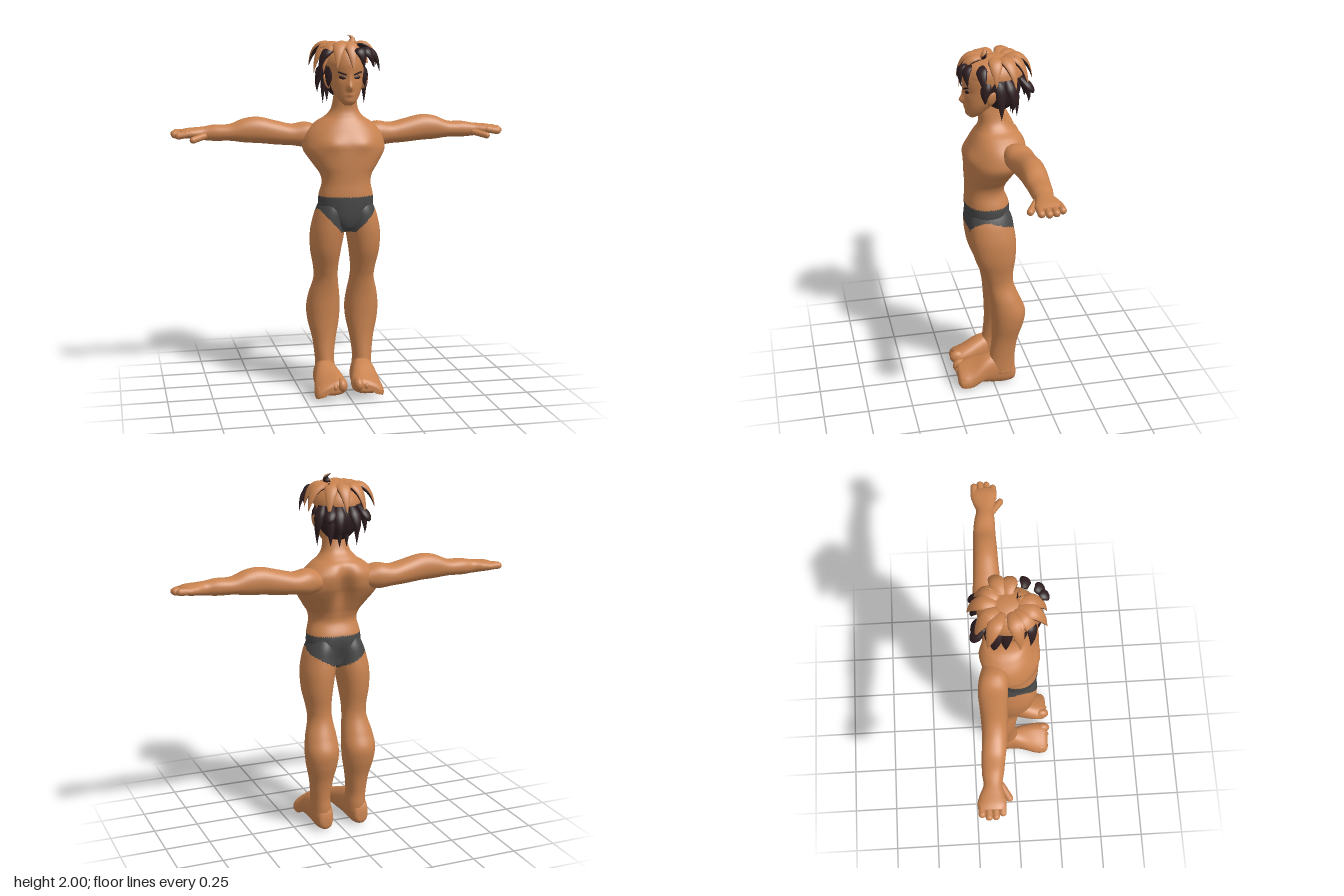
import * as THREE from 'three';

const V = (x, y, z) => new THREE.Vector3(x, y, z);
const mat = (name, color) => Object.assign(new THREE.MeshStandardMaterial({ color }), { name });
const gauss = (v, c, w) => Math.exp(-(((v - c) / w) ** 2));
const smooth = THREE.MathUtils.smoothstep;

export function createModel() {
  const skin = mat('skin', 0xc98350);
  const cloth = mat('briefs grey', 0x484747);
  const dark = mat('dark hair', 0x2f1e20);
  const model = new THREE.Group();

  const add = (name, geo, material) => {
    const m = new THREE.Mesh(geo, material);
    m.name = name;
    model.add(m);
    return m;
  };

  // Closed tube surface from point(t, angle); paint() picks faces for the second material
  function surface(steps, n, point, paint, flip) {
    const pts = [], groups = [[], []];
    for (let i = 0; i <= steps; i++)
      for (let j = 0; j < n; j++) pts.push(point(i / steps, (j / n) * Math.PI * 2));
    for (const i of [0, steps]) {
      const c = V(0, 0, 0);
      for (let j = 0; j < n; j++) c.addScaledVector(pts[i * n + j], 1 / n);
      pts.push(c);
    }
    const tri = (a, b, c, j) => {
      const mid = V(0, 0, 0).add(pts[a]).add(pts[b]).add(pts[c]).divideScalar(3);
      groups[paint && paint(mid, (j / n) * Math.PI * 2) ? 1 : 0].push(...(flip ? [a, c, b] : [a, b, c]));
    };
    const end = (steps + 1) * n;
    for (let j = 0; j < n; j++) {
      const k = (j + 1) % n;
      for (let i = 0; i < steps; i++) {
        const a = i * n + j, b = i * n + k;
        tri(a, a + n, b, j);
        tri(b, a + n, b + n, j);
      }
      tri(end, j, k, j);
      tri(end + 1, steps * n + k, steps * n + j, j);
    }
    const geo = new THREE.BufferGeometry().setFromPoints(pts);
    geo.setIndex([...groups[0], ...groups[1]]);
    geo.addGroup(0, groups[0].length, 0);
    geo.addGroup(groups[0].length, groups[1].length, 1);
    geo.computeVertexNormals();
    return geo;
  }

  // Loft through rows [position, a min, a max, b min, b max] along one axis
  function loft(rows, axis, { steps = 40, n = 32, side = 1, power = 1, bend, paint } = {}) {
    const row = (t) => {
      const f = Math.min(t * (rows.length - 1), rows.length - 1.0001), i = Math.floor(f), u = f - i;
      const at = (k) => rows[Math.max(0, Math.min(rows.length - 1, k))];
      return rows[0].map((_, c) => {
        const [p, q, r, s] = [at(i - 1)[c], at(i)[c], at(i + 1)[c], at(i + 2)[c]];
        return q + 0.5 * u * (r - p + u * (2 * p - 5 * q + 4 * r - s + u * (3 * (q - r) + s - p)));
      });
    };
    const sp = (v) => Math.sign(v) * Math.abs(v) ** power;
    return surface(steps, n, (t, ang) => {
      const [p, a0, a1, b0, b1] = row(t);
      const a = (a0 + a1) / 2 + ((a1 - a0) / 2) * sp(Math.cos(ang));
      const b = (b0 + b1) / 2 + ((b1 - b0) / 2) * sp(Math.sin(ang));
      const v = axis === 'y' ? V(a, p, b) : axis === 'z' ? V(b, a, p) : V(p, b, a);
      if (bend) bend(v);
      v.x *= side;
      return v;
    }, paint, side < 0);
  }

  // Area covered by the briefs
  const briefs = ({ x, y, z }) => {
    const ax = Math.abs(x);
    const front = 0.93 + Math.max(0, ax - 0.04) * 1.1, back = 0.94 + ax * 0.55;
    return y < 1.13 && y > THREE.MathUtils.lerp(back, front, smooth(z, -0.06, 0.06));
  };

  // Torso and neck, with a spine groove and flared back muscles
  add('torso', loft([
    [0.925, -0.03, 0.03, -0.03, 0.06], [0.95, -0.06, 0.06, -0.08, 0.11], [1.0, -0.12, 0.12, -0.1, 0.13],
    [1.06, -0.15, 0.15, -0.105, 0.137], [1.13, -0.15, 0.15, -0.1, 0.14], [1.2, -0.135, 0.135, -0.075, 0.137],
    [1.25, -0.145, 0.145, -0.085, 0.138], [1.3, -0.18, 0.18, -0.11, 0.14], [1.37, -0.225, 0.225, -0.15, 0.14],
    [1.42, -0.225, 0.225, -0.175, 0.135], [1.48, -0.2, 0.2, -0.185, 0.11], [1.53, -0.15, 0.15, -0.165, 0.085],
    [1.56, -0.105, 0.105, -0.13, 0.07], [1.6, -0.075, 0.075, -0.09, 0.06], [1.66, -0.063, 0.063, -0.07, 0.065],
    [1.7, -0.06, 0.06, -0.07, 0.06],
  ], 'y', {
    steps: 130, n: 80, power: 0.88, paint: briefs,
    bend: (v) => {
      const chest = gauss(v.y, 1.4, 0.11);
      v.x *= 1 - 0.8 * (v.z + 0.02) * chest;
      if (v.z < -0.03) v.z += (0.055 * chest + 0.025 * gauss(v.y, 1.0, 0.07)) * gauss(v.x, 0, 0.04);
      if (v.z > 0.03) v.z += 0.01 * gauss(v.y, 1.415, 0.04) * gauss(Math.abs(v.x), 0.09, 0.06);
    },
  }), [skin, cloth]);

  for (const s of [1, -1]) {
    const label = s > 0 ? 'left' : 'right';

    // Leg
    add(label + 'Leg', loft([
      [0.08, 0.05, 0.16, -0.12, 0.02], [0.13, 0.05, 0.16, -0.125, 0.03], [0.2, 0.055, 0.163, -0.125, 0.02],
      [0.3, 0.042, 0.175, -0.14, 0.01], [0.4, 0.022, 0.198, -0.17, 0.01], [0.48, 0.016, 0.205, -0.18, 0.015],
      [0.56, 0.022, 0.195, -0.15, 0.022], [0.65, 0.035, 0.172, -0.115, 0.04], [0.72, 0.037, 0.175, -0.11, 0.065],
      [0.82, 0.025, 0.193, -0.122, 0.105], [0.92, 0.008, 0.195, -0.125, 0.125], [1.0, 0.002, 0.18, -0.115, 0.13],
      [1.06, 0.002, 0.16, -0.105, 0.125], [1.12, 0.02, 0.13, -0.08, 0.1],
    ], 'y', { steps: 130, n: 64, side: s, power: 0.95, paint: briefs }), [skin, cloth]);

    // Foot and toes, the outer edge lower than the inner
    const shift = -0.009 * s;
    const foot = add(label + 'Foot', loft([
      [-0.13, 0.03, 0.08, 0.085, 0.125], [-0.115, 0.01, 0.13, 0.065, 0.15], [-0.06, 0, 0.17, 0.05, 0.163],
      [0, 0.004, 0.19, 0.046, 0.167], [0.05, 0.014, 0.18, 0.034, 0.175], [0.12, 0.024, 0.155, 0.018, 0.19],
      [0.17, 0.032, 0.135, 0.014, 0.194], [0.2, 0.04, 0.12, 0.022, 0.185], [0.212, 0.055, 0.1, 0.05, 0.16],
    ], 'z', {
      side: s, power: 0.85,
      bend: (v) => { if (v.y > 0.06) v.y -= Math.max(0, v.x - 0.07) * 0.35 * smooth(v.z, 0.03, 0.15); },
    }), skin);
    foot.position.x = shift * s;
    [[0.047, 0.03, 0.092], [0.087, 0.018, 0.085], [0.117, 0.017, 0.078], [0.145, 0.016, 0.07], [0.17, 0.015, 0.064]]
      .forEach(([x, r, y], i) => {
        const toe = add(label + 'Toe', new THREE.SphereGeometry(1, 16, 12), skin);
        toe.scale.set(r, i ? r * 1.5 : 0.04, 0.045);
        toe.position.set(x * s + shift * s, y, 0.183 - i * 0.007);
      });

    // Arm and palm; the right forearm swings a little further back
    const swing = (x) => (s < 0 ? -0.045 * smooth(x, 0.45, 0.88) : 0);
    add(label + 'Arm', loft([
      [0.12, -0.16, -0.02, 1.4, 1.5], [0.2, -0.185, -0.03, 1.385, 1.525], [0.28, -0.193, -0.04, 1.395, 1.515],
      [0.36, -0.188, -0.045, 1.4, 1.532], [0.46, -0.183, -0.05, 1.41, 1.555], [0.54, -0.18, -0.052, 1.415, 1.548],
      [0.62, -0.175, -0.055, 1.425, 1.517], [0.7, -0.165, -0.055, 1.425, 1.515], [0.76, -0.152, -0.058, 1.43, 1.505],
      [0.81, -0.168, -0.045, 1.436, 1.5], [0.86, -0.178, -0.036, 1.442, 1.495], [0.89, -0.165, -0.05, 1.452, 1.485],
    ], 'x', { steps: 70, side: s, power: 0.92, bend: (v) => { v.z += swing(v.x); } }), skin);

    // Fingers and thumb
    const digit = (name, a, b, r) => {
      const pts = [a, b].map((p) => V(p[0] * s, p[1], p[2] + swing(p[0])));
      const m = add(label + name, new THREE.CapsuleGeometry(r, pts[0].distanceTo(pts[1]), 6, 14), skin);
      m.position.copy(pts[0]).lerp(pts[1], 0.5);
      m.quaternion.setFromUnitVectors(V(0, 1, 0), pts[1].clone().sub(pts[0]).normalize());
    };
    [0.905, 0.92, 0.918, 0.9].forEach((x, i) => {
      const z = -0.157 + i * 0.034;
      digit('Finger', [0.84, 1.468, z], [x, 1.47 - 0.004 * i, z], 0.019);
    });
    digit('Thumb', [0.76, 1.455, -0.065], [0.825, 1.437, -0.02], 0.018);

    // Ear, eye and brow
    const ear = add(label + 'Ear', new THREE.SphereGeometry(1, 16, 12), skin);
    ear.scale.set(0.013, 0.042, 0.027);
    ear.position.set(0.104 * s, 1.75, 0.01);
    ear.rotation.set(-0.2, 0.4 * s, -0.25 * s);
    const eye = add(label + 'Eye', new THREE.SphereGeometry(1, 16, 10), dark);
    eye.scale.set(0.019, 0.009, 0.005);
    eye.position.set(0.041 * s, 1.775, 0.13);
    eye.rotation.set(0, 0.35 * s, 0.15 * s);
    const brow = add(label + 'Brow', new THREE.BoxGeometry(0.048, 0.008, 0.009), dark);
    brow.position.set(0.042 * s, 1.797, 0.133);
    brow.rotation.set(0, 0.35 * s, 0.32 * s);
  }

  // Head with nose, lips and eye hollows
  add('head', loft([
    [1.625, -0.02, 0.02, 0.075, 0.11], [1.645, -0.043, 0.043, 0.03, 0.13], [1.68, -0.066, 0.066, -0.01, 0.134],
    [1.72, -0.082, 0.082, -0.06, 0.138], [1.78, -0.092, 0.092, -0.1, 0.143], [1.85, -0.1, 0.1, -0.13, 0.148],
    [1.91, -0.09, 0.09, -0.12, 0.125], [1.95, -0.04, 0.04, -0.06, 0.06],
  ], 'y', {
    steps: 70, n: 80,
    bend: (v) => {
      if (v.z < 0.05) return;
      v.z += 0.026 * gauss(v.x, 0, 0.014) * gauss(v.y, 1.722, 0.022) + 0.008 * gauss(v.x, 0, 0.012) * gauss(v.y, 1.76, 0.03);
      v.z += 0.006 * gauss(v.x, 0, 0.022) * gauss(v.y, 1.682, 0.01);
      v.z -= 0.006 * gauss(Math.abs(v.x), 0.04, 0.025) * gauss(v.y, 1.773, 0.016);
    },
  }), skin);

  // Hair masses: light crown over a dark back
  const crown = add('hairCrown', new THREE.SphereGeometry(1, 40, 16, 0, Math.PI * 2, 0, Math.PI * 0.5), skin);
  crown.scale.set(0.128, 0.11, 0.155);
  crown.position.set(0, 1.85, -0.02);
  const back = add('hairBack', new THREE.SphereGeometry(1, 32, 24), dark);
  back.scale.set(0.113, 0.135, 0.115);
  back.position.set(0, 1.79, -0.05);

  // Pointed curved lock, dark on the side facing the head
  const centre = V(0, 1.82, -0.02);
  function lock(name, from, ctrl, tip, w, th, mats) {
    const curve = new THREE.QuadraticBezierCurve3(V(...from), V(...ctrl), V(...tip));
    add(name, surface(14, 14, (t, ang) => {
      const p = curve.getPoint(t), T = curve.getTangent(t), N = p.clone().sub(centre);
      N.addScaledVector(T, -N.dot(T)).normalize();
      const S = N.clone().cross(T), r = Math.min(1, 0.5 + 1.5 * t) * Math.max(0.01, 1 - t ** 2.2);
      return p.addScaledVector(N, Math.cos(ang) * th * r).addScaledVector(S, Math.sin(ang) * w * r);
    }, (p, ang) => Math.cos(ang) < -0.15), mats);
  }

  // Light locks sweeping down from the crown
  for (const [x, y, z] of [
    [-0.18, 1.79, 0.03], [-0.178, 1.83, -0.13], [-0.1, 1.8, -0.19], [0.02, 1.82, -0.225], [0.105, 1.8, -0.185],
    [0.188, 1.82, -0.1], [0.175, 1.83, 0.0], [-0.14, 1.8, 0.105], [-0.075, 1.82, 0.165], [0.015, 1.8, 0.17],
  ]) lock('hairLock', [x * 0.25, 1.94, z * 0.25 - 0.02], [x * 0.85, 1.985, z * 0.85], [x, y, z], 0.045, 0.022, [skin, dark]);

  // Upright tufts
  lock('hairTuft', [-0.01, 1.93, 0.04], [0.07, 1.98, 0.04], [0.005, 2.0, 0.03], 0.022, 0.018, [skin, dark]);
  lock('hairTuft', [-0.03, 1.93, 0.03], [-0.1, 1.965, 0.04], [-0.145, 1.93, 0.04], 0.03, 0.016, [skin, dark]);
  lock('hairTuft', [0.04, 1.93, -0.04], [0.07, 1.94, -0.08], [0.08, 1.97, -0.12], 0.025, 0.018, [skin, dark]);

  // Dark fringe on the left and over the right temple
  for (const [x, y, z] of [[0.07, 1.82, 0.165], [0.125, 1.83, 0.14], [0.178, 1.805, 0.06], [-0.16, 1.785, 0.08]])
    lock('darkFringe', [x * 0.5, 1.92, z * 0.7 + 0.02], [x * 0.9, 1.925, z + 0.02], [x, y, z], 0.034, 0.018, [dark, dark]);

  // Dark locks over the nape and beside the ears
  for (const s of [1, -1])
    for (const [x, y, z] of [
      [0.115, 1.63, -0.04], [0.135, 1.69, -0.1], [0.075, 1.635, -0.13], [0.05, 1.7, -0.2], [0.02, 1.625, -0.12],
      [0.11, 1.77, -0.205], [0.1, 1.72, 0.045],
    ]) lock('napeLock', [x * 0.7 * s, 1.85, z * 0.7], [x * 1.05 * s, 1.78, z * 1.05], [x * s, y, z], 0.036, 0.022, [dark, dark]);

  return model;
}
